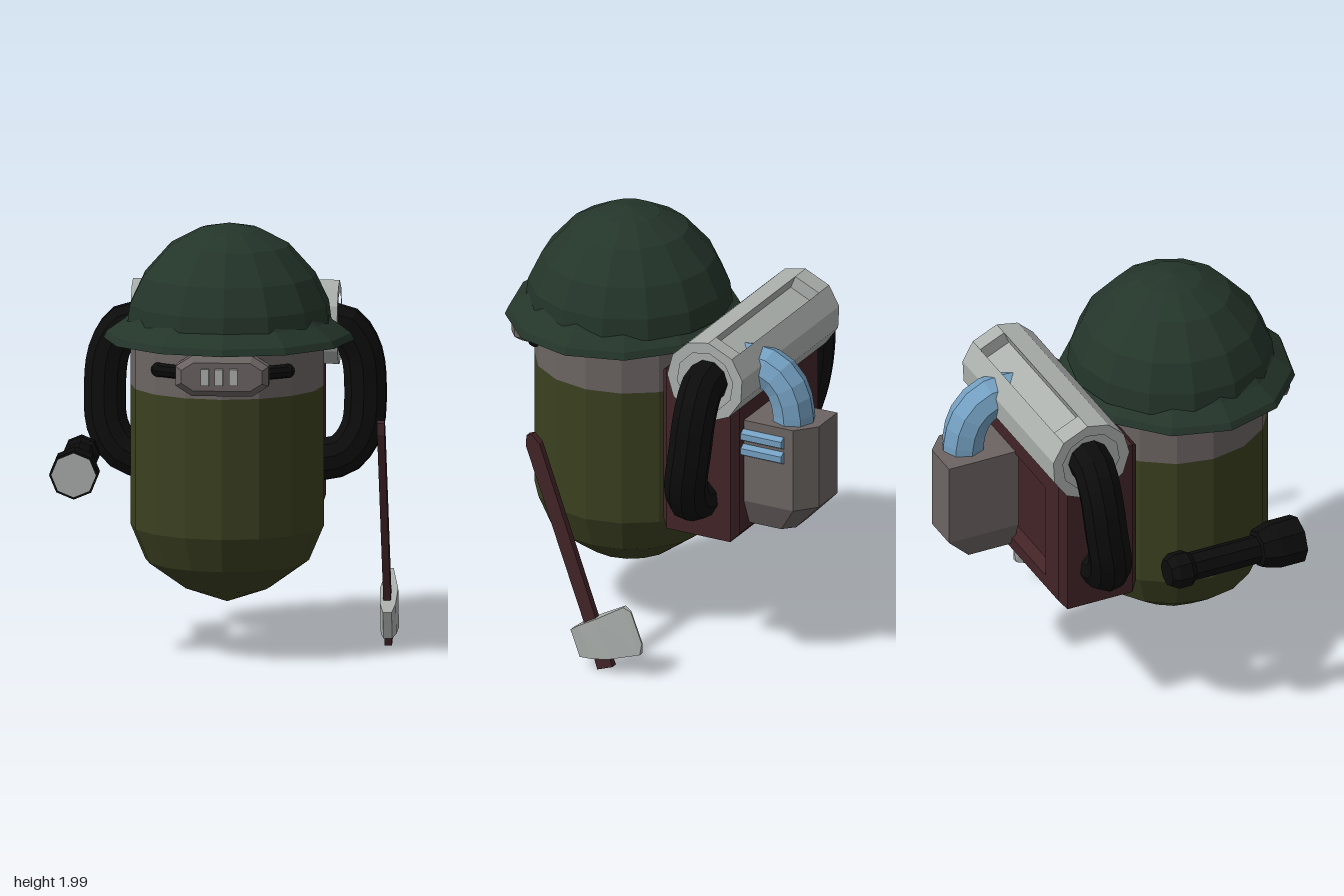
import * as THREE from 'three';

const mat = (name, color) => {
  const m = new THREE.MeshStandardMaterial({ color, flatShading: true });
  m.name = name;
  return m;
};
const V = (x, y, z) => new THREE.Vector3(x, y, z);

// Joins rings of points (counterclockwise about the direction of travel) and caps both ends
function loft(rings) {
  const n = rings[0].length, idx = [], last = (rings.length - 1) * n;
  for (let i = 0; i < rings.length - 1; i++) {
    for (let j = 0; j < n; j++) {
      const k = (j + 1) % n, a = i * n + j, b = i * n + k, c = b + n, d = a + n;
      idx.push(a, b, c, a, c, d);
    }
  }
  for (let j = 1; j < n - 1; j++) {
    idx.push(0, j + 1, j, last, last + j, last + j + 1);
  }
  const g = new THREE.BufferGeometry();
  g.setAttribute('position', new THREE.Float32BufferAttribute(rings.flat(2), 3));
  g.setIndex(idx);
  g.computeVertexNormals();
  return g;
}

const lathe = (pts, sides) => new THREE.LatheGeometry(pts.map(p => new THREE.Vector2(...p)), sides);
const tube = (pts, r, seg, sides) =>
  new THREE.TubeGeometry(new THREE.CatmullRomCurve3(pts), seg, r, sides);

export function createModel() {
  const root = new THREE.Group();
  root.name = 'fieldExplorer';
  const green = mat('helmetGreen', 0x24352a), olive = mat('olive', 0x3b4020);
  const grey = mat('warmGrey', 0x6b6462), light = mat('lightGrey', 0xabb0ad);
  const red = mat('darkRed', 0x422427), blue = mat('steelBlue', 0x74a0c2);
  const black = mat('black', 0x0c0c0c);

  const add = (name, geo, material, x = 0, y = 0, z = 0) => {
    const m = new THREE.Mesh(geo, material);
    m.name = name;
    m.position.set(x, y, z);
    root.add(m);
    return m;
  };

  // Capsule body and face band
  add('body', lathe([[0, 0.245], [0.2, 0.315], [0.375, 0.44], [0.443, 0.6], [0.443, 1.25]], 16), olive, 0.01, 0, 0.268);
  add('faceBand', lathe([[0.443, 1.25], [0.443, 1.48]], 16), grey, 0.01, 0, 0.268);

  // Helmet: flared brim and faceted dome
  add('helmetBrim', lathe([[0.4, 1.466], [0.575, 1.468], [0.56, 1.5], [0.475, 1.56], [0.44, 1.6]], 12), green, 0.02, 0, 0.3)
    .scale.z = 0.93;
  add('helmetDome', lathe([[0.475, 1.53], [0.462, 1.63], [0.4, 1.76], [0.275, 1.9], [0.14, 1.972], [0, 2]], 14), green, 0.02, 0, 0.272);

  // Headlamp with its strap and three light bars
  const lamp = new THREE.Shape([[-0.185, -0.03], [-0.13, -0.065], [0.13, -0.065], [0.185, -0.03],
    [0.185, 0.03], [0.13, 0.065], [-0.13, 0.065], [-0.185, 0.03]].map(p => new THREE.Vector2(...p)));
  add('headlamp', new THREE.ExtrudeGeometry(lamp, {
    depth: 0.07, bevelThickness: 0.03, bevelSize: 0.028, bevelSegments: 1,
  }), grey, 0.015, 1.367, 0.685);
  const arc = [-0.72, -0.36, 0, 0.36, 0.72].map(a => V(0.01 + 0.45 * Math.sin(a), 1.37, 0.268 + 0.45 * Math.cos(a)));
  add('lampStrap', tube(arc, 0.032, 10, 8), black);
  for (const p of [arc[0], arc[4]]) {
    add('strapEnd', new THREE.SphereGeometry(0.034, 8, 6), black, p.x, p.y, p.z);
  }
  for (const x of [-0.061, 0.003, 0.07]) {
    add('lightBar', new THREE.BoxGeometry(0.037, 0.075, 0.06), light, x, 1.368, 0.78);
  }

  // Backpack box with bevelled edges and a sunken rear panel
  const rect = (x0, x1, y0, y1, z) => [[x0, y0, z], [x1, y0, z], [x1, y1, z], [x0, y1, z]];
  add('backpack', loft([
    rect(-0.2, 0.22, 0.76, 1.16, -0.455),
    rect(-0.24, 0.26, 0.72, 1.2, -0.495),
    rect(-0.375, 0.385, 0.66, 1.4, -0.495),
    rect(-0.41, 0.42, 0.625, 1.43, -0.465),
    rect(-0.41, 0.42, 0.625, 1.43, -0.135),
    rect(-0.375, 0.385, 0.66, 1.4, -0.1),
  ]), red);

  // Canister: slices along x, the middle one notched, the end ones hollow
  const R = 0.196;
  const slice = (name, x0, x1, notch, hole) => {
    const at = (deg, r) => {
      const a = (25 + deg) * Math.PI / 180;
      return new THREE.Vector2(0.37 + r * Math.sin(a), 1.436 + r * Math.cos(a));
    };
    const pts = [];
    for (let i = 0; i <= 10; i++) pts.push(at(20 + 32 * i, R));
    if (notch) pts.push(at(-28, R * 0.7), at(28, R * 0.7));
    const s = new THREE.Shape(pts);
    if (hole) {
      s.holes.push(new THREE.Path(Array.from({ length: 10 }, (_, i) => at(20 + 36 * i, 0.145))));
    }
    const g = new THREE.ExtrudeGeometry(s, { depth: x1 - x0, bevelEnabled: false });
    add(name, g.rotateY(Math.PI / 2).translate(x0, 0, 0), light);
  };
  slice('canisterRim', -0.46, -0.43, false, true);
  slice('canisterEnd', -0.43, -0.36, false, false);
  slice('canisterMiddle', -0.36, 0.41, true, false);
  slice('canisterEnd', 0.41, 0.455, false, false);
  slice('canisterRim', 0.455, 0.487, false, true);

  // Side hoses from the canister ends down to the pack
  for (const s of [-1, 1]) {
    const path = [[0.41, 1.43, -0.37], [0.5, 1.42, -0.37], [0.575, 1.31, -0.37], [0.597, 1.13, -0.355],
      [0.58, 0.95, -0.325], [0.5, 0.84, -0.305], [0.37, 0.81, -0.3]];
    add('sideHose', tube(path.map(([x, y, z]) => V(0.01 + s * x, y, z)), 0.1, 18, 10), black);
  }

  // Rear filter unit with tapered foot
  const unit = (y, pts) => pts.map(([x, z]) => [x, y, z]);
  const full = [[0.345, -0.48], [0.345, -0.75], [0.25, -0.833], [0.07, -0.833], [0.07, -0.48]];
  const foot = [[0.29, -0.48], [0.29, -0.66], [0.24, -0.71], [0.12, -0.71], [0.12, -0.48]];
  add('filterUnit', loft([unit(0.68, foot), unit(0.81, full), unit(1.213, full)]), grey);

  // Blue elbow pipe and two thin side pipes
  add('elbowPipe', tube([V(0.22, 1.44, -0.43), V(0.22, 1.44, -0.55), V(0.22, 1.39, -0.635),
    V(0.22, 1.29, -0.682), V(0.22, 1.18, -0.69)], 0.1, 7, 8), blue);
  for (const y of [1.142, 1.068]) {
    add('sidePipe', new THREE.CylinderGeometry(0.03, 0.03, 0.215, 6).rotateX(Math.PI / 2), blue, 0.35, y, -0.597);
  }

  // Flashlight
  add('flashlight', lathe([[0, -0.088], [0.065, -0.088], [0.086, -0.055], [0.086, 0.01], [0.067, 0.035],
    [0.067, 0.365], [0.09, 0.37], [0.113, 0.45], [0.113, 0.575], [0, 0.575]], 8).rotateX(Math.PI / 2), black, -0.675, 0.872, 0);
  add('flashlightLens', new THREE.CircleGeometry(0.102, 8), light, -0.675, 0.872, 0.579);

  // Axe: tilted tapering handle and a wedge head
  const grip = [[0.735, 0.025, 0.008, 0.042], [0.733, 0.26, 0.092, 0.034], [0.723, 1.06, 0.389, 0.037], [0.722, 1.105, 0.408, 0.014]];
  add('axeHandle', loft(grip.map(([x, y, z, w]) => [[1, 1], [1, -1], [-1, -1], [-1, 1]]
    .map(([sx, sz]) => [x + sx * 0.017, y - sz * w * 0.34, z + sz * w * 0.94]))), red);
  const head = [ // top z, top y, bottom z, bottom y, half thickness
    [0.183, 0.185, 0.135, 0.058, 0.02], [0.135, 0.22, 0.07, 0.068, 0.036], [0.04, 0.275, -0.02, 0.085, 0.042],
    [-0.085, 0.348, -0.172, 0.128, 0.014], [-0.12, 0.33, -0.178, 0.18, 0.004]];
  add('axeHead', loft(head.map(([tz, ty, bz, by, t]) =>
    [[0.738 - t, ty, tz], [0.738 + t, ty, tz], [0.738 + t, by, bz], [0.738 - t, by, bz]])), light);

  return root;
}
